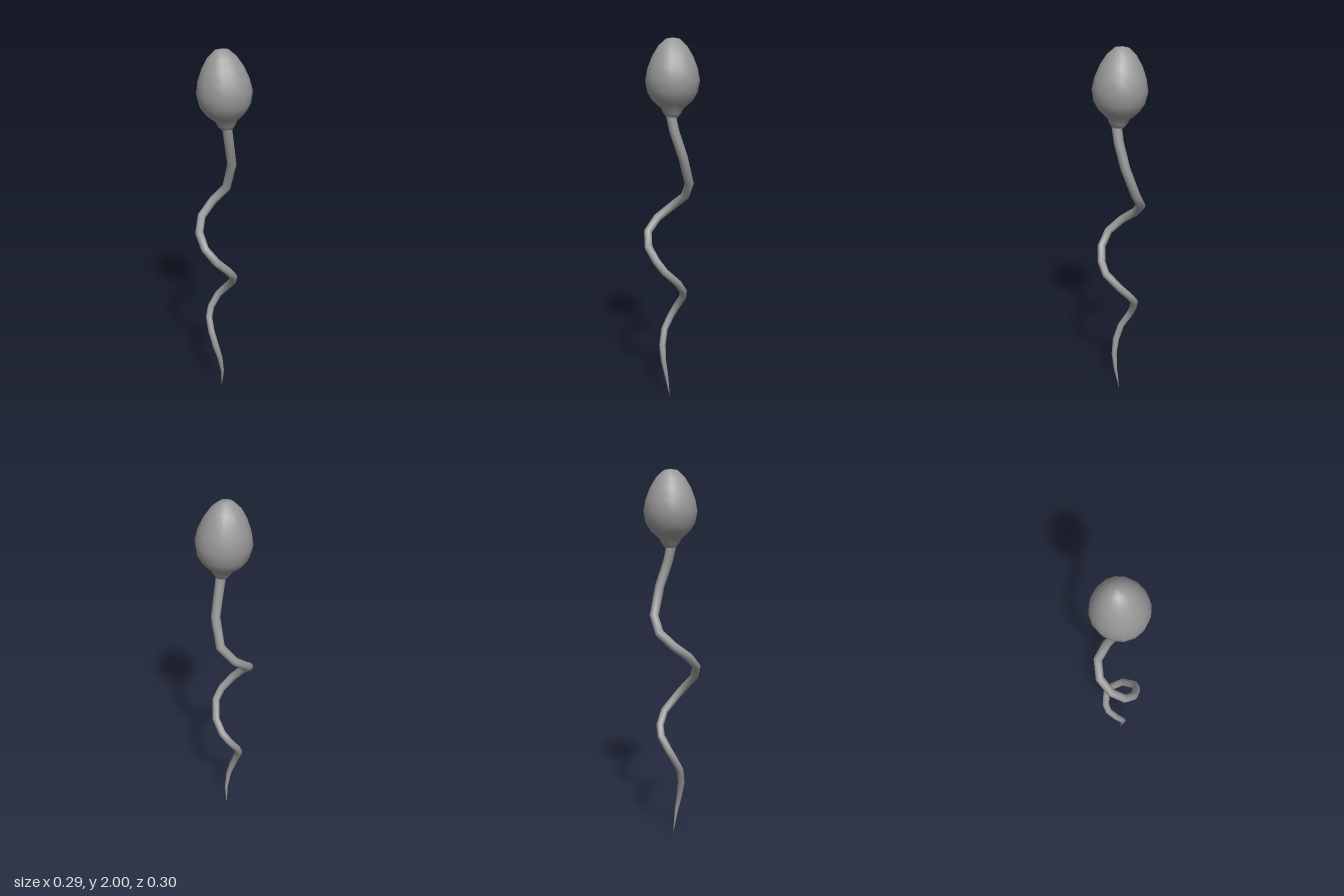
import * as THREE from 'three';

const material = new THREE.MeshStandardMaterial({ color: 0x979797 });

// Skins round rings [x, y, z, radius], listed from top to bottom, square to their path.
function loft(name, rings, sides) {
  const centres = rings.map(([x, y, z]) => new THREE.Vector3(x, y, z));
  const positions = [], index = [];
  rings.forEach(([, , , radius], i) => {
    const before = centres[Math.max(i - 1, 0)];
    const after = centres[Math.min(i + 1, rings.length - 1)];
    const t = after.clone().sub(before).normalize();
    const u = new THREE.Vector3(1, 0, 0).addScaledVector(t, -t.x).normalize();
    const v = t.clone().cross(u);
    for (let j = 0; j < sides; j++) {
      const a = (j / sides) * Math.PI * 2;
      const p = centres[i].clone()
        .addScaledVector(u, radius * Math.cos(a))
        .addScaledVector(v, radius * Math.sin(a));
      positions.push(p.x, p.y, p.z);
      if (i === rings.length - 1) continue;
      const k = (j + 1) % sides;
      const a0 = i * sides + j, a1 = i * sides + k;
      index.push(a0, a1, a0 + sides, a1, a1 + sides, a0 + sides);
    }
  });
  const geometry = new THREE.BufferGeometry();
  geometry.setAttribute('position', new THREE.Float32BufferAttribute(positions, 3));
  geometry.setIndex(index);
  geometry.computeVertexNormals();
  const mesh = new THREE.Mesh(geometry, material);
  mesh.name = name;
  return mesh;
}

export function createModel() {
  const group = new THREE.Group();
  group.name = 'wrigglingCell';

  // Egg-shaped head [height, radius], leaning slightly and flowing into a narrow neck
  const egg = [
    [2.0, 0], [1.994, 0.035], [1.96, 0.073], [1.91, 0.104], [1.85, 0.128],
    [1.79, 0.14], [1.73, 0.129], [1.69, 0.104], [1.665, 0.077], [1.65, 0.058],
    [1.625, 0.046], [1.605, 0.031], [1.6, 0],
  ];
  group.add(loft('head', egg.map(([y, r]) =>
    [-0.008 + (2 - y) * 0.075, y, -0.01, r]), 16));

  // Tapering corkscrew tail: [x, y, z]
  const path = [
    [0.025, 1.63, 0], [0.029, 1.53, -0.022], [0.026, 1.4, -0.066], [-0.018, 1.25, -0.098],
    [-0.088, 1.168, -0.073], [-0.12, 1.1, 0.002], [-0.097, 1.04, 0.08],
    [-0.04, 0.975, 0.127], [0.022, 0.905, 0.118], [0.068, 0.84, 0.072],
    [0.08, 0.785, 0.027], [0.044, 0.71, -0.042], [-0.01, 0.645, -0.069],
    [-0.052, 0.595, -0.064], [-0.081, 0.525, -0.026], [-0.08, 0.47, 0.005],
    [-0.05, 0.4, 0.038], [-0.018, 0.315, 0.048], [0.005, 0.23, 0.04],
    [0.012, 0.13, 0.022], [0, 0, 0.004],
  ];
  const radius = (y) => (y > 0.3 ? 0.0185 + (y - 0.3) * 0.006 : 0.0185 * Math.pow(y / 0.3, 0.75));
  group.add(loft('tail', path.map(([x, y, z]) => [x, y, z, radius(y)]), 8));

  return group;
}
